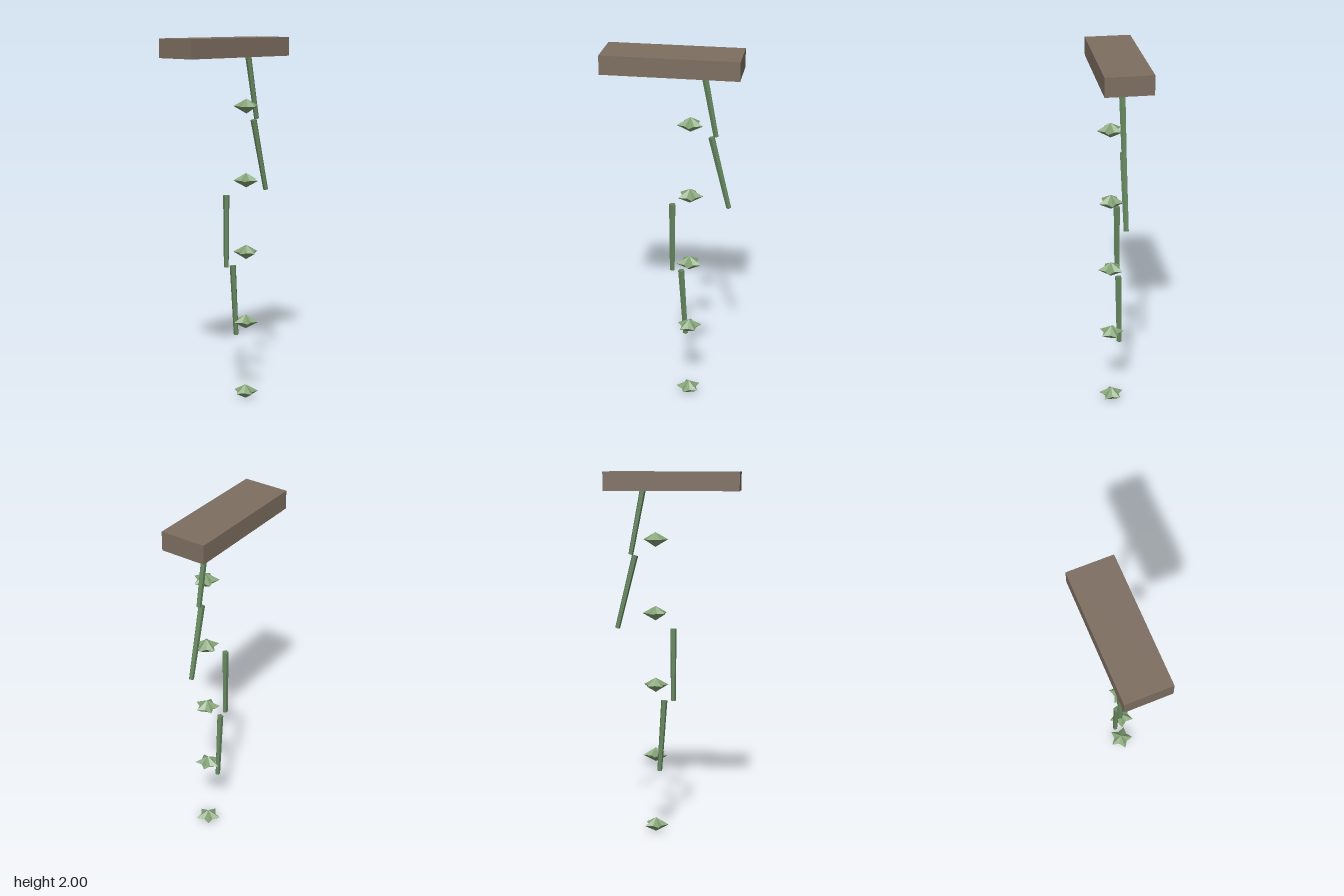
import * as THREE from 'three';

const paint = (color, extra = {}) => new THREE.MeshStandardMaterial({ color, flatShading: true, ...extra });

// Five-pointed star pulled up and down to an apex
function starLeafGeometry(tip, notch, height) {
  const geo = new THREE.SphereGeometry(1, 10, 2);
  const pos = geo.attributes.position;
  for (let i = 0; i < pos.count; i++) {
    const r = Math.floor(i % 11) % 2 === 0 ? tip : notch;
    pos.setXYZ(i, pos.getX(i) * r, pos.getY(i) * height, pos.getZ(i) * r);
  }
  geo.computeVertexNormals();
  return geo;
}

// Box shell without its underside
function openBoxGeometry(w, h, d) {
  const geo = new THREE.BoxGeometry(w, h, d);
  const index = Array.from(geo.index.array);
  index.splice(18, 6);
  geo.setIndex(index);
  geo.clearGroups();
  return geo;
}

export function createModel() {
  const model = new THREE.Group();
  model.name = 'hangingVine';

  // Support slab the vine hangs from
  const support = new THREE.Mesh(
    openBoxGeometry(0.715, 0.1, 0.246),
    paint(0x7d6e60, { side: THREE.DoubleSide })
  );
  support.name = 'support';
  support.position.set(-0.001, 1.95, -0.004);
  model.add(support);

  // Broken stem pieces: top x, top y, bottom x, bottom y
  const stemMaterial = paint(0x66875f);
  const stems = [
    [0.152, 1.955, 0.228, 1.56],
    [0.205, 1.555, 0.303, 1.16],
    [-0.002, 1.16, -0.002, 0.763],
    [0.048, 0.763, 0.074, 0.366],
  ];
  stems.forEach(([x0, y0, x1, y1], i) => {
    const top = new THREE.Vector3(x0, y0, 0.002);
    const bottom = new THREE.Vector3(x1, y1, 0.002);
    const axis = top.clone().sub(bottom);
    const stem = new THREE.Mesh(new THREE.CylinderGeometry(0.018, 0.014, axis.length(), 5), stemMaterial);
    stem.name = `stem${i + 1}`;
    stem.position.copy(top).add(bottom).multiplyScalar(0.5);
    stem.quaternion.setFromUnitVectors(new THREE.Vector3(0, 1, 0), axis.normalize());
    model.add(stem);
  });

  // Leaf clusters down the vine: height, turn
  const leafGeometry = starLeafGeometry(0.071, 0.042, 0.04);
  const leafMaterial = paint(0x86a478);
  const leaves = [
    [1.638, Math.PI / 2],
    [1.238, Math.PI],
    [0.84, Math.PI / 2],
    [0.446, -Math.PI / 2],
    [0.04, 0],
  ];
  leaves.forEach(([y, turn], i) => {
    const leaf = new THREE.Mesh(leafGeometry, leafMaterial);
    leaf.name = `leafCluster${i + 1}`;
    leaf.position.set(0.1, y, 0.051);
    leaf.rotation.y = turn;
    model.add(leaf);
  });

  return model;
}
